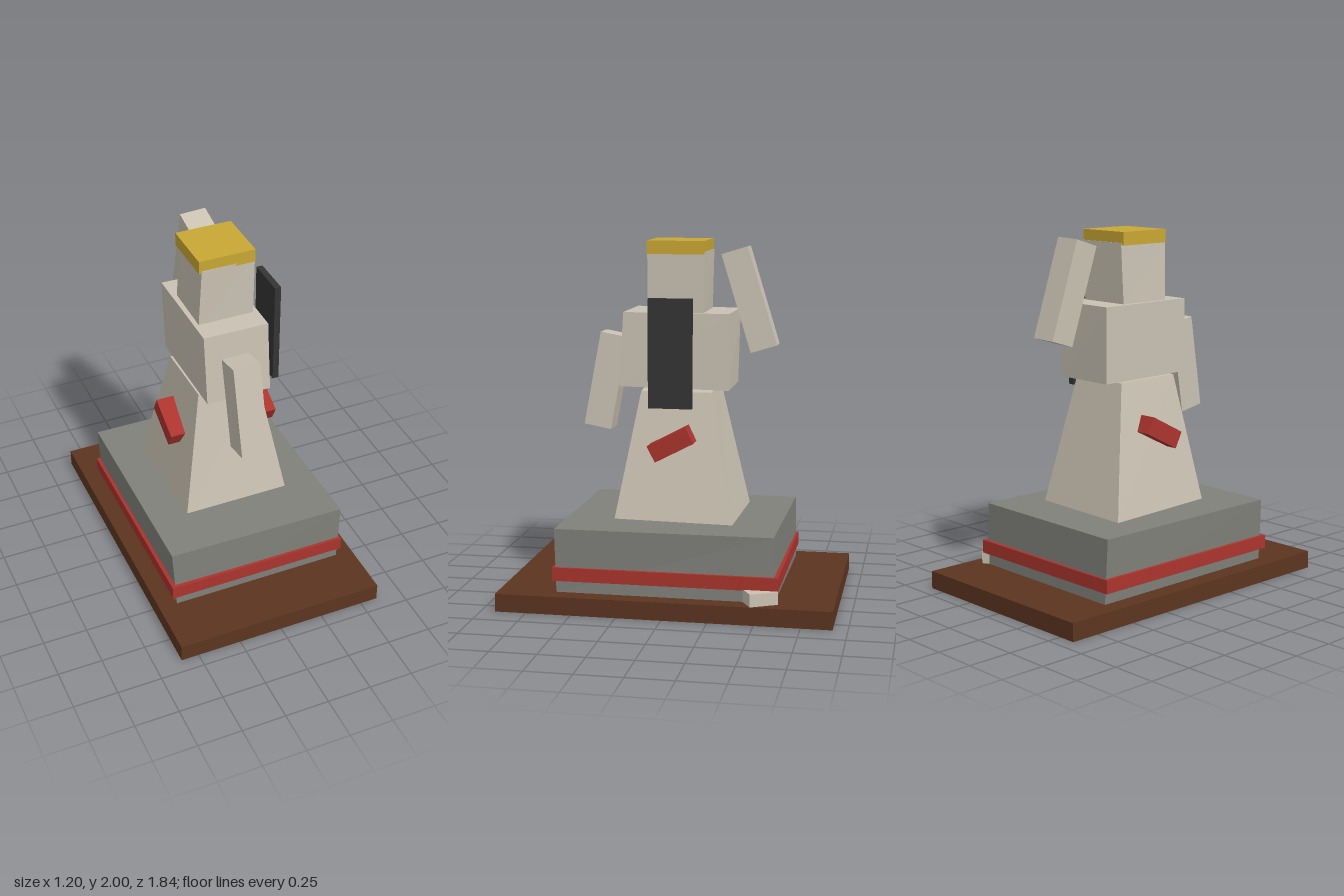
import * as THREE from 'three';

const material = (name, color) => {
  const m = new THREE.MeshStandardMaterial({ color });
  m.name = name;
  return m;
};

export function createModel() {
  const model = new THREE.Group();
  model.name = 'chessStyleStatue';
  const wood = material('dark wood', 0x5c3520);
  const slate = material('grey stone', 0x80817a);
  const stone = material('pale stone', 0xcac2b3);
  const red = material('red', 0xab342d);
  const gold = material('gold', 0xc9a734);
  const black = material('black', 0x343434);

  function add(name, geometry, mat, pos = [0, 0, 0], rot = [0, 0, 0]) {
    const mesh = new THREE.Mesh(geometry, mat);
    mesh.name = name;
    mesh.position.set(...pos);
    mesh.rotation.set(...rot);
    model.add(mesh);
    return mesh;
  }
  const box = (name, size, mat, pos, rot) => add(name, new THREE.BoxGeometry(...size), mat, pos, rot);

  // Roughly hewn block: each end lists its corners as [x, y, z]
  // in the order back right, back left, front left, front right.
  function hewn(name, bottom, top, mat) {
    const g = new THREE.BoxGeometry(1, 1, 1);
    const p = g.attributes.position;
    for (let i = 0; i < p.count; i++) {
      const x = p.getX(i) > 0, z = p.getZ(i) > 0;
      const corner = z ? (x ? 2 : 3) : (x ? 1 : 0);
      p.setXYZ(i, ...(p.getY(i) > 0 ? top : bottom)[corner]);
    }
    const flat = g.toNonIndexed();
    flat.computeVertexNormals();
    return add(name, flat, mat);
  }

  // Board and pedestal
  box('baseBoard', [1.2, 0.1, 1.84], wood, [0, 0.05, 0]);
  hewn('pedestal',
    [[-0.5, 0.1, -0.61], [0.505, 0.1, -0.6], [0.5, 0.1, 0.6], [-0.495, 0.1, 0.6]],
    [[-0.515, 0.455, -0.603], [0.492, 0.455, -0.592], [0.507, 0.455, 0.608], [-0.515, 0.455, 0.592]], slate);
  box('pedestalBand', [1.04, 0.075, 1.24], red, [-0.005, 0.203, 0]);
  box('stoneChip', [0.16, 0.1, 0.16], stone, [0.491, 0.12, -0.513], [0, 0.49, 0]);

  // Body
  hewn('skirt',
    [[-0.325, 0.458, -0.352], [0.295, 0.465, -0.34], [0.295, 0.475, 0.318], [-0.31, 0.472, 0.315]],
    [[-0.19, 1.185, -0.2], [0.17, 1.175, -0.205], [0.17, 1.175, 0.19], [-0.188, 1.19, 0.2]], stone);
  hewn('torso',
    [[-0.18, 1.19, -0.3], [0.185, 1.19, -0.3], [0.188, 1.2, 0.31], [-0.18, 1.195, 0.305]],
    [[-0.19, 1.61, -0.31], [0.185, 1.61, -0.3], [0.178, 1.61, 0.288], [-0.19, 1.61, 0.282]], stone);
  hewn('head',
    [[-0.16, 1.6, -0.155], [0.15, 1.6, -0.155], [0.15, 1.6, 0.155], [-0.165, 1.6, 0.155]],
    [[-0.15, 1.94, -0.165], [0.155, 1.94, -0.163], [0.155, 1.94, 0.157], [-0.15, 1.94, 0.166]], stone);
  box('crown', [0.32, 0.073, 0.32], gold, [-0.003, 1.9635, 0]);

  // Arms, one lowered in front and one raised behind
  box('frontArm', [0.155, 0.53, 0.155], stone, [-0.007, 1.21, 0.414], [-0.18, 0, 0.025]);
  box('backArm', [0.15, 0.56, 0.15], stone, [0.04, 1.68, -0.398], [0.3, 0.03, 0.025]);

  // Shield plate and the tilted bar through the skirt
  box('shieldPlate', [0.036, 0.595, 0.24], black, [0.313, 1.403, 0]);
  box('crossBar', [0.64, 0.098, 0.24], red, [-0.005, 0.902, 0.002], [0.48, 0, 0]);

  return model;
}
